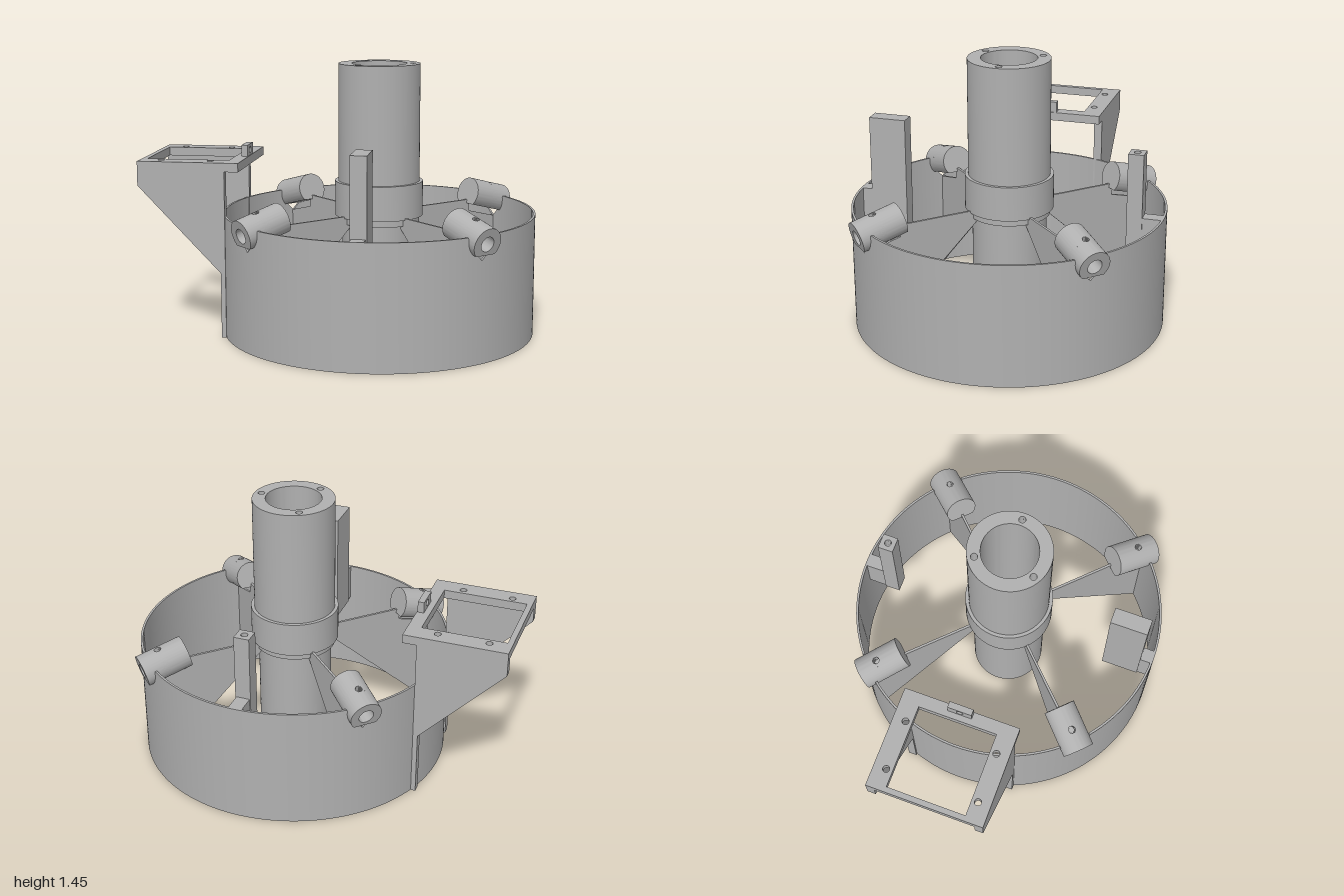
import * as THREE from 'three';
import { mergeGeometries, toCreasedNormals } from 'three/addons/utils/BufferGeometryUtils.js';

const CENTER_X = 0.105, CENTER_Z = -0.105;
const RING_R = 0.835, RING_H = 0.655, WALL = 0.012;

function polygon(points) {
  return new THREE.Shape(points.map(([x, y]) => new THREE.Vector2(x, y)));
}

function rect(x0, x1, y0, y1) {
  return polygon([[x0, y0], [x1, y0], [x1, y1], [x0, y1]]);
}

function disc(radius) {
  return new THREE.Shape().absarc(0, 0, radius, 0, Math.PI * 2, false);
}

function addHole(shape, x, y, radius) {
  shape.holes.push(new THREE.Path().absarc(x, y, radius, 0, Math.PI * 2, true));
  return shape;
}

function extrude(shape, depth, curveSegments = 32) {
  return new THREE.ExtrudeGeometry(shape, { depth, bevelEnabled: false, curveSegments });
}

// Plan shape raised from y0 to y1
function raise(shape, y0, y1, segments) {
  return extrude(shape, y1 - y0, segments).rotateX(-Math.PI / 2).translate(0, y0, 0);
}

// Side profile (radius, height) given a thickness centred on z
function plate(shape, thickness, z = 0) {
  return extrude(shape, thickness).translate(0, 0, z - thickness / 2);
}

// Teardrop section with an axial bore and an optional slot cut down to the bore
function teardrop(R, r, slot) {
  const s = new THREE.Shape();
  s.moveTo(0, -R * Math.SQRT2);
  if (slot > 0) {
    const a = Math.acos(slot / R), b = Math.acos(slot / r);
    s.absarc(0, 0, R, -Math.PI / 4, a, false);
    s.absarc(0, 0, r, b, Math.PI - b, true);
    s.absarc(0, 0, R, Math.PI - a, Math.PI * 1.25, false);
  } else {
    s.absarc(0, 0, R, -Math.PI / 4, Math.PI * 1.25, false);
    if (r > 0) addHole(s, 0, 0, r);
  }
  s.closePath();
  return s;
}

// Teardrop socket: closed inner end, bored outer end, screw hole in the top
function socketGeometry() {
  const R = 0.085, r = 0.04, screw = 0.018, mid = 0.135, length = 0.25, n = 6;
  const parts = [];
  const slice = (z0, z1, bore, slot) =>
    parts.push(extrude(teardrop(R, bore, slot), z1 - z0, 28).translate(0, 0, z0));
  slice(0, 0.03, 0, 0);
  slice(0.03, mid - screw, r, 0);
  for (let i = 0; i < n; i++) {
    const t = (2 * i + 1) / n - 1, step = 2 * screw / n;
    const z = mid - screw + i * step;
    slice(z, z + step, r, screw * Math.sqrt(1 - t * t));
  }
  slice(mid + screw, length, r, 0);
  return mergeGeometries(parts).rotateY(Math.PI / 2).rotateZ(-Math.PI / 12).translate(0.632, 0.683, 0);
}

// Thin ring wall with V notches where the sockets pass through
function ringGeometry() {
  const profile = [[RING_R, 0], [RING_R, RING_H], [RING_R - WALL, RING_H], [RING_R - WALL, 0], [RING_R, 0]];
  const g = new THREE.LatheGeometry(profile.map(([x, y]) => new THREE.Vector2(x, y)), 240);
  const p = g.attributes.position;
  for (let i = 0; i < p.count; i++) {
    const d = Math.min(Math.abs(p.getX(i)), Math.abs(p.getZ(i)));
    if (p.getY(i) > 0.6 && d < 0.07) p.setY(i, 0.53 + d);
  }
  return g;
}

export function createModel() {
  const model = new THREE.Group();
  model.name = 'ringMount';
  const body = new THREE.Group();
  body.name = 'body';
  body.position.set(CENTER_X, 0, CENTER_Z);
  model.add(body);

  const grey = new THREE.MeshStandardMaterial({ color: 0xb0b0b0 });
  grey.name = 'grey';

  const add = (name, geometry, parent = body) => {
    const mesh = new THREE.Mesh(toCreasedNormals(geometry, 0.5), grey);
    mesh.name = name;
    parent.add(mesh);
    return mesh;
  };
  const turned = (name, angle) => {
    const g = new THREE.Group();
    g.name = name;
    g.rotation.y = angle;
    body.add(g);
    return g;
  };

  add('outerRing', ringGeometry());

  // Central tube: thin lower pipe, thick upper sleeve with screw holes, collar
  add('lowerTube', raise(addHole(disc(0.197), 0, 0, 0.178), 0, 0.6, 48));
  const sleeve = addHole(disc(0.217), 0, 0, 0.147);
  for (let i = 0; i < 3; i++) {
    const a = Math.PI / 4 + i * Math.PI * 2 / 3;
    addHole(sleeve, Math.cos(a) * 0.18, Math.sin(a) * 0.18, 0.018);
  }
  add('upperTube', raise(sleeve, 0.6, 1.445, 48));
  add('collar', raise(addHole(disc(0.235), 0, 0, 0.21), 0.635, 0.82, 48));

  // Four spokes, each carrying a tilted socket
  const fin = polygon([[0.828, 0], [0.828, 0.53], [0.637, 0.58], [0.637, 0.645], [0.19, 0.645], [0.19, 0.59]]);
  for (let i = 0; i < 4; i++) {
    const spoke = turned('spoke', i * Math.PI / 2);
    add('fin', plate(fin, 0.013), spoke);
    add('socket', socketGeometry(), spoke);
  }

  // Wide post
  const widePost = turned('widePost', -Math.PI / 4);
  add('post', raise(rect(0.567, 0.768, -0.043, 0.043), 0.45, 1.065), widePost);
  add('postTab', raise(rect(0.76, 0.83, -0.036, 0.036), 0.45, 0.655), widePost);

  // Slim post with a screw hole in its top
  const slimPost = turned('slimPost', Math.PI * 3 / 4);
  add('post', raise(rect(0.643, 0.725, -0.041, 0.041), 0.45, 0.9), slimPost);
  add('postTop', raise(addHole(rect(0.643, 0.725, -0.041, 0.041), 0.684, 0, 0.018), 0.9, 1.0), slimPost);
  add('postTab', raise(rect(0.72, 0.83, -0.036, 0.036), 0.45, 0.655), slimPost);

  // Square frame held outside the ring by two gussets
  const bracket = turned('bracket', -Math.PI * 3 / 4);
  const frame = rect(0.7, 1.244, -0.315, 0.315);
  frame.holes.push(rect(0.77, 1.215, -0.212, 0.212));
  for (const u of [0.865, 1.13]) for (const v of [-0.247, 0.247]) addHole(frame, u, v, 0.018);
  add('frame', raise(frame, 0.893, 0.94), bracket);
  const gusset = polygon([[0.775, 0], [0.8, 0], [0.8, 0.35], [1.244, 0.81], [1.244, 0.893], [0.775, 0.893]]);
  for (const side of [-1, 1]) add('gusset', plate(gusset, 0.045, side * 0.2925), bracket);

  // Small drilled lug on the frame's inner bar
  const lug = extrude(addHole(rect(-0.065, 0.065, 0.94, 1.0), 0, 0.968, 0.018), 0.034);
  add('frameLug', lug.rotateY(Math.PI / 2).translate(0.704, 0, 0), bracket);

  return model;
}
